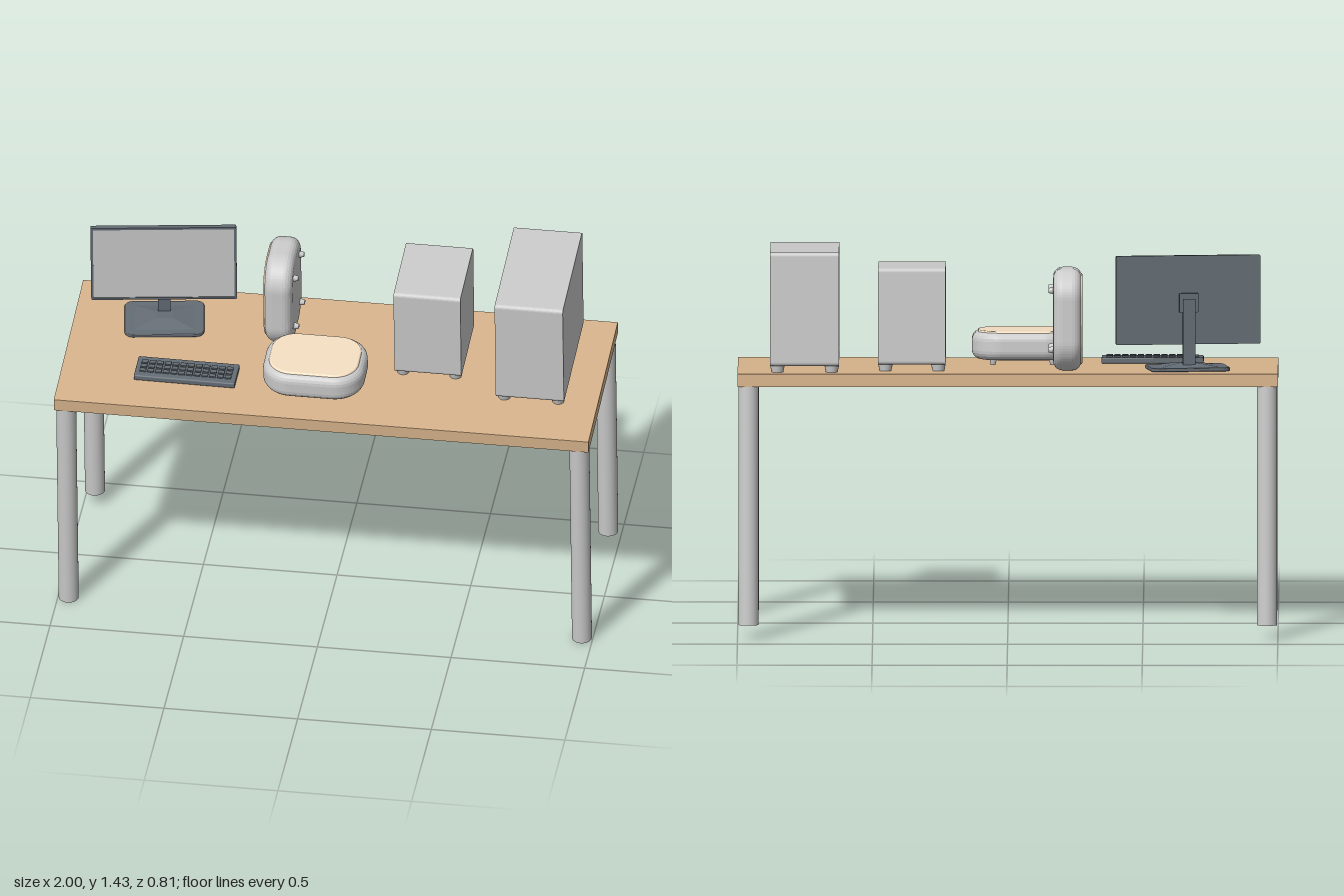
import * as THREE from 'three';
import { RoundedBoxGeometry } from 'three/addons/geometries/RoundedBoxGeometry.js';

const paint = (color) => new THREE.MeshStandardMaterial({ color });
const GREY = paint(0xcccccc), WOOD = paint(0xd8b48c), PAD = paint(0xf2dec2), DARK = paint(0x646c74);

function add(parent, name, geometry, material, x = 0, y = 0, z = 0) {
  const mesh = new THREE.Mesh(geometry, material);
  mesh.name = name;
  mesh.position.set(x, y, z);
  parent.add(mesh);
  return mesh;
}

function group(parent, name, x, y, z) {
  const g = new THREE.Group();
  g.name = name;
  g.position.set(x, y, z);
  parent.add(g);
  return g;
}

// Rounded rectangle centred on the origin
function roundRect(w, h, r, Type = THREE.Shape) {
  const s = new Type(), a = w / 2, b = h / 2;
  s.moveTo(-a + r, -b);
  s.lineTo(a - r, -b);
  s.absarc(a - r, -b + r, r, -Math.PI / 2, 0);
  s.lineTo(a, b - r);
  s.absarc(a - r, b - r, r, 0, Math.PI / 2);
  s.lineTo(-a + r, b);
  s.absarc(-a + r, b - r, r, Math.PI / 2, Math.PI);
  s.lineTo(-a, -b + r);
  s.absarc(-a + r, -b + r, r, Math.PI, Math.PI * 1.5);
  return s;
}

// Flat plate in XY, from z = 0 to z = depth, with an optional window
function plate(w, h, depth, r, border = 0) {
  const s = roundRect(w, h, r);
  if (border) s.holes.push(roundRect(w - 2 * border, h - 2 * border, r / 2, THREE.Path));
  return new THREE.ExtrudeGeometry(s, { depth, bevelEnabled: false, curveSegments: 5 });
}

// Puffed slab with rounded rim, lying flat from y = 0 to y = height
function puff(w, d, height, r, bevel) {
  const g = new THREE.ExtrudeGeometry(roundRect(w - 2 * bevel, d - 2 * bevel, r - bevel), {
    depth: height - 2 * bevel, bevelThickness: bevel, bevelSize: bevel, bevelSegments: 5, curveSegments: 8,
  });
  return g.rotateX(-Math.PI / 2).translate(0, bevel, 0);
}

// Cabinet on four feet; a window recesses its -x side
function cabinet(parent, name, x, z, w, h, d, windowed) {
  const g = group(parent, name, x, 0, z), foot = 0.024, y = foot + (h - foot) / 2;
  const front = windowed ? 0.015 : 0;
  const body = add(g, 'case', plate(d, h - foot, w - front, 0.014), GREY, -w / 2 + front, y, 0);
  body.rotation.y = Math.PI / 2;
  if (windowed) {
    const frame = add(g, 'windowFrame', plate(d, h - foot, front, 0.014, 0.03), GREY, -w / 2, y, 0);
    frame.rotation.y = Math.PI / 2;
  }
  for (const sx of [-1, 1]) for (const sz of [-1, 1]) {
    add(g, 'foot', new THREE.CylinderGeometry(0.027, 0.022, foot, 16), GREY,
      sx * (w / 2 - 0.027), foot / 2, sz * (d / 2 - 0.04));
  }
}

// Puffy pad with a soft panel on top and four small pegs below
function pad(parent, name, x, y, z) {
  const g = group(parent, name, x, y, z);
  add(g, 'shell', puff(0.378, 0.292, 0.104, 0.11, 0.034), GREY, 0, 0.018, 0);
  add(g, 'softPanel', puff(0.335, 0.25, 0.02, 0.09, 0.008), PAD, 0, 0.106, 0);
  for (const sx of [-1, 1]) for (const sz of [-1, 1]) {
    add(g, 'peg', new THREE.CylinderGeometry(0.015, 0.009, 0.026, 12), GREY, sx * 0.11, 0.013, sz * 0.075);
  }
  return g;
}

function monitor(parent) {
  const g = group(parent, 'monitor', -0.665, 0, -0.165);
  g.rotation.y = 0.145;
  // Stand: plate, sloped cone, neck and mount
  add(g, 'standPlate', puff(0.295, 0.21, 0.014, 0.03, 0.004), DARK);
  const cone = new THREE.CylinderGeometry(0.035, 0.13, 0.014, 4).rotateY(Math.PI / 4);
  cone.scale(1.25, 1, 0.85);
  add(g, 'standSlope', cone.toNonIndexed(), DARK, 0, 0.02, 0).geometry.computeVertexNormals();
  add(g, 'neck', new THREE.BoxGeometry(0.046, 0.25, 0.022), DARK, 0, 0.14, -0.034);
  add(g, 'mount', new THREE.BoxGeometry(0.07, 0.07, 0.02), DARK, 0, 0.25, -0.025);
  // Panel with a thin raised bezel around the screen
  const panel = group(g, 'panel', 0, 0.26, -0.02);
  add(panel, 'back', plate(0.54, 0.33, 0.012, 0.006), DARK);
  add(panel, 'bezel', plate(0.54, 0.33, 0.005, 0.006, 0.009), DARK, 0, 0, 0.012);
  add(panel, 'screen', new THREE.BoxGeometry(0.522, 0.312, 0.002), GREY, 0, 0, 0.0132);
}

function keyboard(parent) {
  const g = group(parent, 'keyboard', -0.535, 0, 0.155);
  g.rotation.y = -0.01;
  add(g, 'base', new RoundedBoxGeometry(0.378, 0.022, 0.124, 2, 0.005), DARK, 0, 0.011, 0);
  const key = new THREE.BoxGeometry(0.023, 0.006, 0.018);
  for (let row = 0; row < 3; row++) for (let col = 0; col < 12; col++) {
    add(g, 'key', key, DARK, (col - 5.5) * 0.029, 0.024, (row - 1) * 0.026);
  }
}

export function createModel() {
  const model = new THREE.Group();
  model.name = 'deskSetup';

  // Everything leans forward slightly about the middle of the tabletop
  const desk = group(model, 'desk', 0, 0.962, 0.032);
  desk.rotation.x = 0.0736;
  add(desk, 'tabletop', new THREE.BoxGeometry(2, 0.048, 0.748), WOOD, 0, -0.024, 0);
  for (const sx of [-1, 1]) for (const sz of [-1, 1]) {
    add(desk, 'leg', new THREE.CylinderGeometry(0.037, 0.037, 0.89, 32), GREY, sx * 0.96, -0.49, sz * 0.334);
  }

  cabinet(desk, 'largeCabinet', 0.752, -0.074, 0.255, 0.445, 0.5, true);
  cabinet(desk, 'smallCabinet', 0.355, -0.095, 0.25, 0.382, 0.33, false);
  monitor(desk);
  keyboard(desk);

  pad(desk, 'flatPad', -0.055, 0, 0.136);
  pad(desk, 'uprightPad', -0.15, 0.189, -0.166).rotation.z = Math.PI / 2;

  return model;
}
